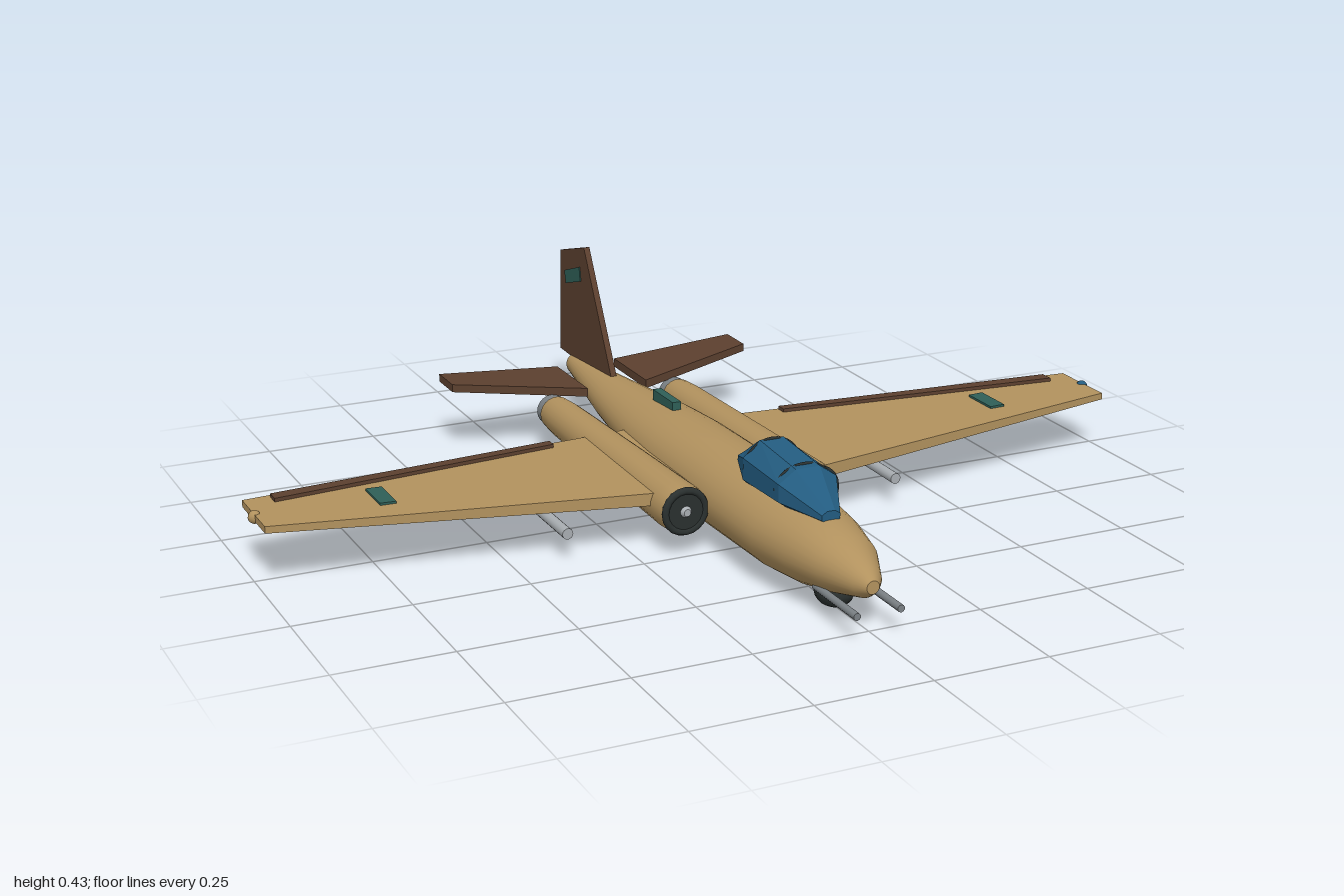
import * as THREE from 'three';

const mat = (name, color, extra = {}) => Object.assign(new THREE.MeshStandardMaterial({ color, ...extra }), { name });

export function createModel() {
  const group = new THREE.Group();
  const tan = mat('sand', 0xb2925e);
  const brown = mat('brown', 0x5c402f);
  const blue = mat('canopyBlue', 0x235c80);
  const teal = mat('teal', 0x2f5f57);
  const dark = mat('darkGrey', 0x2a302f);
  const grey = mat('metalGrey', 0x7c8286);
  const light = mat('lightGrey', 0xa9aeb2);

  const add = (name, geo, material, x = 0, y = 0, z = 0) => {
    const m = new THREE.Mesh(geo, material);
    m.name = name;
    m.position.set(x, y, z);
    group.add(m);
    return m;
  };

  // Rings [z, centreY, radiusX, radiusY], ordered front to back, with end caps
  const loft = (rings, n, flat = false) => {
    const pos = [], idx = [];
    rings.forEach(([z, cy, rx, ry]) => {
      for (let j = 0; j < n; j++) {
        const a = ((j + 0.5) / n) * Math.PI * 2;
        pos.push(rx * Math.cos(a), cy + ry * Math.sin(a), z);
      }
    });
    for (let i = 0; i < rings.length - 1; i++) {
      for (let j = 0; j < n; j++) {
        const a = i * n + j, b = i * n + (j + 1) % n;
        idx.push(a, a + n, b, b, a + n, b + n);
      }
    }
    // caps get their own vertices so the rim stays sharp
    [0, rings.length - 1].forEach((r, back) => {
      const s = pos.length / 3;
      for (let j = 0; j < n; j++) pos.push(...pos.slice((r * n + j) * 3, (r * n + j) * 3 + 3));
      for (let j = 1; j < n - 1; j++) idx.push(s, s + j + (back ? 1 : 0), s + j + (back ? 0 : 1));
    });
    let g = new THREE.BufferGeometry();
    g.setAttribute('position', new THREE.Float32BufferAttribute(pos, 3));
    g.setIndex(idx);
    if (flat) g = g.toNonIndexed();
    g.computeVertexNormals();
    return g;
  };

  // Tapered slab between two sections [x, zLead, zTrail, yBottom, yTop]; s mirrors it
  const panel = (root, tip, s) => {
    const g = new THREE.BoxGeometry(1, 1, 1).toNonIndexed();
    const p = g.attributes.position;
    for (let i = 0; i < p.count; i++) {
      const t = 0.5 + s * p.getX(i);
      const v = root.map((r, k) => r + (tip[k] - r) * t);
      p.setXYZ(i, s * v[0], p.getY(i) > 0 ? v[4] : v[3], p.getZ(i) > 0 ? v[1] : v[2]);
    }
    g.computeVertexNormals();
    return g;
  };

  const rod = (r, length, sides = 16) => new THREE.CylinderGeometry(r, r, length, sides).rotateX(Math.PI / 2);

  // Upright plate from side-profile points [z, y]
  const plate = (points, depth) => {
    const shape = new THREE.Shape(points.map(([z, y]) => new THREE.Vector2(-z, y)));
    return new THREE.ExtrudeGeometry(shape, { depth, bevelEnabled: false })
      .translate(0, 0, -depth / 2).rotateY(Math.PI / 2);
  };

  // Fuselage
  add('fuselage', loft([
    [0.764, 0.096, 0.014, 0.014], [0.74, 0.098, 0.032, 0.032], [0.66, 0.104, 0.068, 0.058],
    [0.56, 0.103, 0.09, 0.077], [0.45, 0.101, 0.106, 0.083], [0.15, 0.1, 0.106, 0.09],
    [-0.06, 0.103, 0.104, 0.083], [-0.2, 0.106, 0.096, 0.072], [-0.45, 0.11, 0.063, 0.05],
    [-0.72, 0.121, 0.019, 0.023]], 28), tan);

  // Canopy and its frame hoops
  add('canopy', loft([
    [0.59, 0.18, 0.022, 0.014], [0.49, 0.205, 0.07, 0.049],
    [0.33, 0.205, 0.07, 0.061], [0.235, 0.193, 0.032, 0.014]], 8, true), blue);
  [[0.47, 0.046], [0.332, 0.055]].forEach(([z, h]) => {
    const hoop = add('canopyFrame', new THREE.TorusGeometry(1, 0.1, 6, 16, Math.PI), dark, 0, 0.205, z);
    hoop.scale.set(0.06, h, 0.05);
  });

  // Chin turret
  add('chinTurret', new THREE.SphereGeometry(0.04, 14, 8).scale(1, 0.8, 1.1), dark, 0, 0.032, 0.608);

  // Dorsal blade
  add('dorsalBlock', new THREE.BoxGeometry(0.02, 0.04, 0.105), teal, 0, 0.18, -0.182);

  // Fin with a coloured flash on both faces
  add('fin', plate([[-0.465, 0.135], [-0.63, 0.43], [-0.775, 0.39], [-0.785, 0.142]], 0.014), brown);
  add('finFlash', plate([[-0.655, 0.377], [-0.747, 0.347], [-0.739, 0.317], [-0.65, 0.343]], 0.019), teal);

  for (const s of [1, -1]) {
    // Wing, flap strip and marking
    add('wing', panel([0.03, 0.213, -0.22, 0.092, 0.122], [0.988, 0.06, -0.105, 0.123, 0.138], s), tan);
    add('flapStrip', panel([0.28, -0.162, -0.186, 0.115, 0.134], [0.93, -0.068, -0.1, 0.126, 0.145], s), brown);
    add('wingMarking', panel([0.705, 0.035, -0.06, 0.128, 0.138], [0.74, 0.035, -0.06, 0.128, 0.139], s), teal);
    add('wingTipLight', new THREE.SphereGeometry(0.014, 10, 8), s > 0 ? blue : tan, s * 0.986, 0.13, -0.022);

    // Tailplane
    add('tailplane', panel([0.073, -0.46, -0.645, 0.124, 0.144], [0.37, -0.55, -0.638, 0.15, 0.168], s), brown);

    // Engine nacelle, intake and exhaust
    const x = s * 0.153, y = 0.097;
    add('nacelle', loft([[0.243, 0, 0.051, 0.051], [0.2, 0, 0.054, 0.054], [-0.05, 0, 0.05, 0.05],
      [-0.4, 0, 0.043, 0.043], [-0.458, 0, 0.039, 0.039]], 20), tan, x, y);
    add('intakeLip', new THREE.TorusGeometry(0.045, 0.008, 8, 20), dark, x, y, 0.242);
    add('intakeFace', rod(0.045, 0.006, 20), dark, x, y, 0.243);
    add('intakeHub', loft([[0.254, 0, 0.008, 0.008], [0.24, 0, 0.016, 0.016]], 12), light, x, y);
    add('exhaustRing', rod(0.036, 0.04, 20), grey, x, y, -0.466);
    add('exhaustOpening', rod(0.029, 0.004, 20), dark, x, y, -0.486);

    // Underwing tube and nose gun
    add('underwingTube', rod(0.012, 0.236), light, s * 0.385, 0.06, 0.052);
    add('noseGun', rod(0.008, 0.17, 10), grey, s * 0.048, 0.054, 0.705);
  }
  return group;
}
